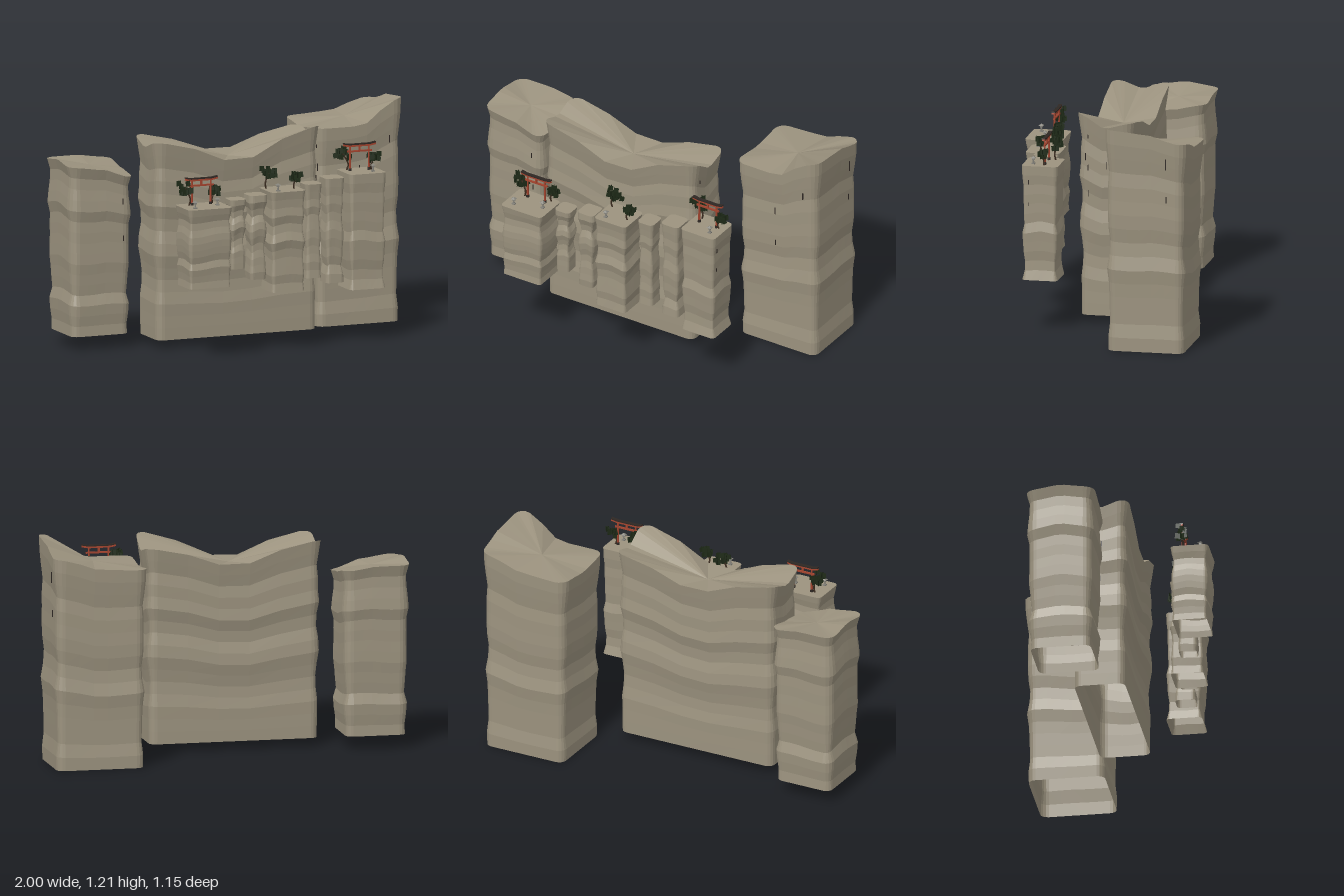
import * as THREE from 'three';

const mat = (name, color, extra = {}) => {
  const m = new THREE.MeshStandardMaterial({ color, ...extra });
  m.name = name;
  return m;
};

// small seeded random generator
function seeded(s) {
  return () => {
    s = (s * 16807) % 2147483647;
    return s / 2147483647;
  };
}

// outline of a rounded rectangle, counter-clockwise seen from above, as [x, z, outX, outZ]
function outline(w, d, r, arc = 4, sub = 5) {
  const pts = [];
  const corners = [[1, -1], [-1, -1], [-1, 1], [1, 1]];
  corners.forEach(([sx, sz], k) => {
    for (let i = 0; i <= arc; i++) {
      const a = (k + i / arc) * Math.PI / 2;
      const ox = Math.cos(a), oz = -Math.sin(a);
      pts.push([sx * (w - r) + r * ox, sz * (d - r) + r * oz, ox, oz]);
    }
    // straight run to the next corner
    const [nx, nz] = corners[(k + 1) % 4];
    const [px, pz, ox, oz] = pts[pts.length - 1];
    const ex = nx * (w - r) + r * ox, ez = nz * (d - r) + r * oz;
    for (let i = 1; i < sub; i++) {
      const t = i / sub;
      pts.push([px + (ex - px) * t, pz + (ez - pz) * t, ox, oz]);
    }
  });
  return pts;
}

// rock column with wavy strata, an uneven rim, a fan-shaped top and an open base
// rim: heights at +x, +x-z, -z, -x-z, -x, -x+z, +z, +x+z
function column({ x0, x1, z0, z1, base, rim, peak, r, taper, amp, rows, seed }) {
  const w = (x1 - x0) / 2, d = (z1 - z0) / 2, rnd = seeded(seed);
  const pts = outline(w, d, r), n = pts.length;
  const pos = [], idx = [];
  for (let j = 0; j <= rows; j++) {
    const t = j / rows;
    const bulge = j === rows ? 0 : -taper * (1 - t) - amp * rnd() * 1.6 + amp * 0.5 * Math.sin(j * 1.3 + seed);
    for (const [x, z, ox, oz] of pts) {
      const a = Math.atan2(-z / d, x / w);
      const u = ((a / (Math.PI / 4)) + 8) % 8, i = Math.floor(u) % 8;
      const f = u - Math.floor(u), s = f * f * (3 - 2 * f);
      const top = rim[i] + (rim[(i + 1) % 8] - rim[i]) * s;
      const y = base + (top - base) * t + amp * 1.2 * Math.sin(a * 3 + seed) * Math.sin(Math.PI * t);
      pos.push(x + ox * bulge, y, z + oz * bulge);
    }
  }
  for (let j = 0; j < rows; j++) for (let i = 0; i < n; i++) {
    const a = j * n + i, b = j * n + (i + 1) % n;
    idx.push(a, b, b + n, a, b + n, a + n);
  }
  const c = pos.length / 3;
  pos.push(0, peak, 0);
  for (let i = 0; i < n; i++) idx.push(rows * n + i, rows * n + (i + 1) % n, c);
  let g = new THREE.BufferGeometry();
  g.setAttribute('position', new THREE.Float32BufferAttribute(pos, 3));
  g.setIndex(idx);
  g = g.toNonIndexed();
  g.computeVertexNormals();
  g.translate((x0 + x1) / 2, 0, (z0 + z1) / 2);
  return g;
}

export function createModel() {
  const root = new THREE.Group();
  root.name = 'floatingRockIslands';
  const rock = mat('rock', 0x9c937f, { flatShading: true, side: THREE.DoubleSide });
  const red = mat('gateRed', 0xa5452f);
  const dark = mat('gateDark', 0x2e2723);
  const leaf = mat('foliage', 0x1f2b18, { side: THREE.DoubleSide });
  const bark = mat('bark', 0x3d2d20);
  const stone = mat('lanternStone', 0x85837b, { flatShading: true });

  const add = (parent, name, geo, m, x = 0, y = 0, z = 0) => {
    const o = new THREE.Mesh(geo, m);
    o.name = name;
    o.position.set(x, y, z);
    parent.add(o);
    return o;
  };
  const group = (name, x, y, z) => {
    const g = new THREE.Group();
    g.name = name;
    g.position.set(x, y, z);
    root.add(g);
    return g;
  };
  const box = (w, h, d) => new THREE.BoxGeometry(w, h, d);

  // three large cliffs
  const cliffs = [
    { name: 'rightCliff', x0: -1, x1: -0.63, z0: -0.34, z1: 0.03, base: 0.08, peak: 0.98, r: 0.06,
      rim: [0.95, 0.98, 1.0, 1.0, 1.02, 1.0, 0.98, 0.93] },
    { name: 'middleCliff', x0: -0.555, x1: 0.405, z0: -0.17, z1: 0.145, base: 0.05, peak: 1.0, r: 0.06,
      rim: [1.08, 1.11, 1.0, 1.12, 1.08, 1.12, 0.99, 1.15] },
    { name: 'leftCliff', x0: 0.49, x1: 1, z0: -0.58, z1: -0.13, base: 0.005, peak: 1.1, r: 0.06,
      rim: [1.2, 1.15, 1.09, 1.08, 1.06, 1.08, 1.08, 1.215] },
  ];
  cliffs.forEach((c, i) => add(root, c.name,
    column({ ...c, taper: 0.018, amp: 0.009, rows: 16, seed: 11 + i * 7 }), rock));

  // row of small pillars: x0, x1, z0, z1, base, top
  [
    [-0.545, -0.29, 0.37, 0.575, 0.4, 0.83],
    [-0.265, -0.17, 0.385, 0.485, 0.475, 0.85],
    [-0.14, -0.038, 0.345, 0.455, 0.405, 0.86],
    [-0.023, 0.178, 0.285, 0.472, 0.33, 0.872],
    [0.205, 0.303, 0.295, 0.402, 0.38, 0.888],
    [0.335, 0.445, 0.255, 0.372, 0.34, 0.905],
    [0.468, 0.68, 0.188, 0.385, 0.295, 0.92],
  ].forEach(([x0, x1, z0, z1, base, top], i) => add(root, 'pillar' + (i + 1),
    column({ x0, x1, z0, z1, base, rim: Array(8).fill(top), peak: top, r: 0.024,
      taper: 0.006, amp: 0.008, rows: 12, seed: 5 + i * 13 }), rock));

  // wooden gates
  [[-0.412, 0.83, 0.425], [0.57, 0.92, 0.268]].forEach(([x, y, z]) => {
    const g = group('gate', x, y, z);
    for (const s of [-1, 1]) {
      add(g, 'gatePost', new THREE.CylinderGeometry(0.005, 0.006, 0.13, 8), red, s * 0.054, 0.065, 0);
      add(g, 'postFoot', new THREE.CylinderGeometry(0.008, 0.009, 0.014, 8), dark, s * 0.054, 0.007, 0);
      add(g, 'beamTip', box(0.035, 0.01, 0.015), red, s * 0.075, 0.138, 0).rotation.z = s * 0.18;
      add(g, 'roofTip', box(0.035, 0.006, 0.02), dark, s * 0.075, 0.146, 0).rotation.z = s * 0.18;
    }
    add(g, 'topBeam', box(0.125, 0.01, 0.015), red, 0, 0.135, 0);
    add(g, 'roofBeam', box(0.125, 0.006, 0.02), dark, 0, 0.143, 0);
    add(g, 'lowerBeam', box(0.14, 0.009, 0.009), red, 0, 0.105, 0);
    add(g, 'centreStrut', box(0.01, 0.022, 0.008), red, 0, 0.12, 0);
  });

  // stone lanterns
  [[-0.49, 0.83, 0.525], [-0.34, 0.83, 0.475], [0.03, 0.872, 0.43], [0.622, 0.92, 0.33]].forEach(([x, y, z]) => {
    const g = group('lantern', x, y, z);
    add(g, 'lanternFoot', box(0.018, 0.006, 0.018), stone, 0, 0.003, 0);
    add(g, 'lanternPost', new THREE.CylinderGeometry(0.004, 0.005, 0.018, 6), stone, 0, 0.014, 0);
    add(g, 'lanternLamp', box(0.013, 0.011, 0.013), stone, 0, 0.028, 0);
    add(g, 'lanternRoof', new THREE.ConeGeometry(0.018, 0.01, 4), stone, 0, 0.038, 0).rotation.y = Math.PI / 4;
  });

  // leaning trees with clumps of upright leaf cards: x, ground, z, lean, spread, crown height
  const rnd = seeded(77);
  [
    [-0.485, 0.83, 0.425, -0.02, 0.048, 0.095],
    [-0.335, 0.83, 0.395, 0.012, 0.032, 0.065],
    [0.005, 0.872, 0.325, 0.015, 0.052, 0.085],
    [0.14, 0.872, 0.39, 0.012, 0.034, 0.06],
    [0.51, 0.92, 0.232, -0.022, 0.052, 0.09],
    [0.64, 0.92, 0.268, 0.015, 0.038, 0.065],
  ].forEach(([x, y, z, lean, spread, h]) => {
    const g = group('tree', x, y, z);
    const path = new THREE.CatmullRomCurve3([
      new THREE.Vector3(0, -0.003, 0), new THREE.Vector3(-lean * 0.4, h * 0.35, 0.004),
      new THREE.Vector3(lean, h, 0)]);
    add(g, 'trunk', new THREE.TubeGeometry(path, 8, 0.0045, 6), bark);
    for (let i = 0; i < 15; i++) {
      const a = i * 2.4, q = Math.sqrt((i + 0.3) / 15) * spread * 0.85;
      const px = lean + Math.cos(a) * q, pz = Math.sin(a) * q * 0.65;
      const py = h + (rnd() - 0.5) * h * 0.55;
      const size = 0.022 + rnd() * 0.01, yaw = rnd() * 1.5, tilt = (rnd() - 0.5) * 0.4;
      for (const turn of [0, Math.PI / 2])
        add(g, 'leafCard', new THREE.PlaneGeometry(size, size), leaf, px, py, pz).rotation.set(0, yaw + turn, tilt);
    }
  });

  // thin hanging vines on the rock faces: x, centre height, z, length
  [
    [0.402, 1.03, 0.08, 0.02], [0.4, 0.92, 0.095, 0.04], [0.398, 0.86, 0.08, 0.03], [0.396, 0.72, 0.08, 0.035],
    [0.995, 1.04, -0.47, 0.06], [0.99, 0.845, -0.47, 0.035], [0.915, 1.0, -0.132, 0.04], [0.74, 0.85, -0.134, 0.04],
    [0.74, 0.65, -0.138, 0.03], [-0.695, 0.8, 0.025, 0.03], [-0.69, 0.6, 0.02, 0.03], [0.675, 0.83, 0.345, 0.025],
    [0.672, 0.71, 0.345, 0.02],
  ].forEach(([x, y, z, l]) => add(root, 'vine', box(0.004, l, 0.004), dark, x, y, z));

  return root;
}
